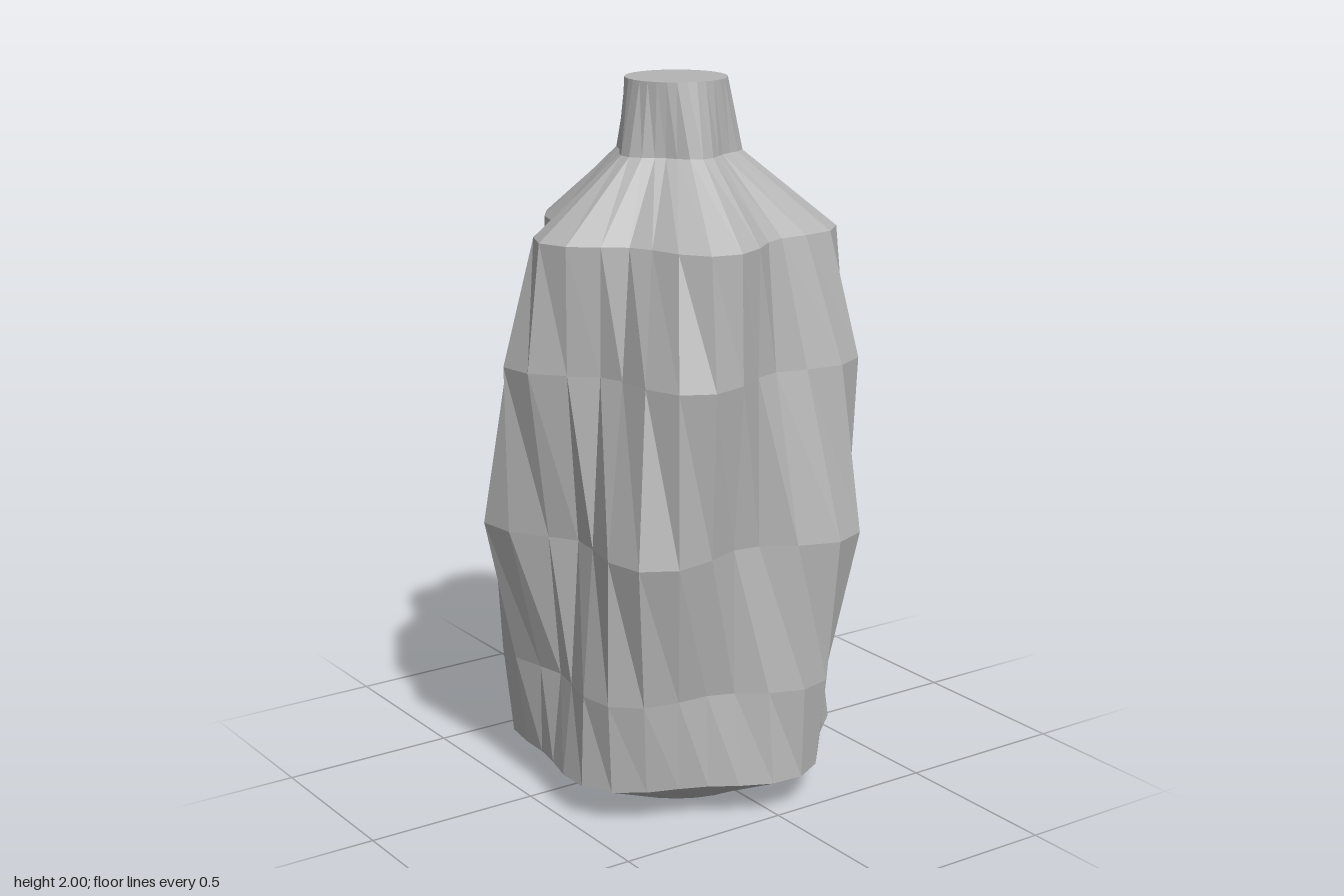
import * as THREE from 'three';

const SIDES = 32, LOBES = 5;
const CX = -0.018, CZ = 0.028; // axis of the bottle

// Rings from bottom to top: height, mean radius, lobe depth
const RINGS = [
  [0, 0.268, 0],
  [0.1, 0.45, 0.035],
  [0.36, 0.447, 0.054],
  [0.77, 0.467, 0.083],
  [1.24, 0.44, 0.07],
  [1.59, 0.387, 0.055],
  [1.8, 0.166, 0.016],
  [2, 0.14, 0],
];

// The five lobes twist steadily with height
function ringPoint([y, radius, depth], i) {
  const a = (i / SIDES) * Math.PI * 2;
  const peak = THREE.MathUtils.degToRad(82.6 - 29.3 * y);
  const r = radius + depth * Math.cos(LOBES * (a - peak));
  return [r * Math.cos(a), y, r * Math.sin(a)];
}

// Faceted skin through a run of rings
function loft(rings) {
  const pos = [];
  for (let j = 0; j < rings.length - 1; j++) {
    for (let i = 0; i < SIDES; i++) {
      const b0 = ringPoint(rings[j], i), b1 = ringPoint(rings[j], i + 1);
      const t0 = ringPoint(rings[j + 1], i), t1 = ringPoint(rings[j + 1], i + 1);
      pos.push(...b0, ...t1, ...b1, ...b0, ...t0, ...t1);
    }
  }
  const geo = new THREE.BufferGeometry();
  geo.setAttribute('position', new THREE.Float32BufferAttribute(pos, 3));
  geo.computeVertexNormals();
  return geo;
}

export function createModel() {
  const group = new THREE.Group();
  group.name = 'twistedBottle';
  const grey = new THREE.MeshStandardMaterial({ color: 0xb4b4b4 });
  grey.name = 'grey';
  grey.flatShading = true;

  const add = (name, geo) => {
    const mesh = new THREE.Mesh(geo, grey);
    mesh.name = name;
    mesh.position.set(CX, 0, CZ);
    group.add(mesh);
  };

  add('base', loft(RINGS.slice(0, 2)));
  add('body', loft(RINGS.slice(1, 6)));
  add('shoulder', loft(RINGS.slice(5, 7)));
  add('neck', loft(RINGS.slice(6, 8)));

  // Flat discs closing both ends
  add('bottomCap', new THREE.CircleGeometry(RINGS[0][1], SIDES).rotateX(Math.PI / 2));
  add('topCap', new THREE.CircleGeometry(RINGS[7][1], SIDES).rotateX(-Math.PI / 2).translate(0, 2, 0));

  return group;
}
